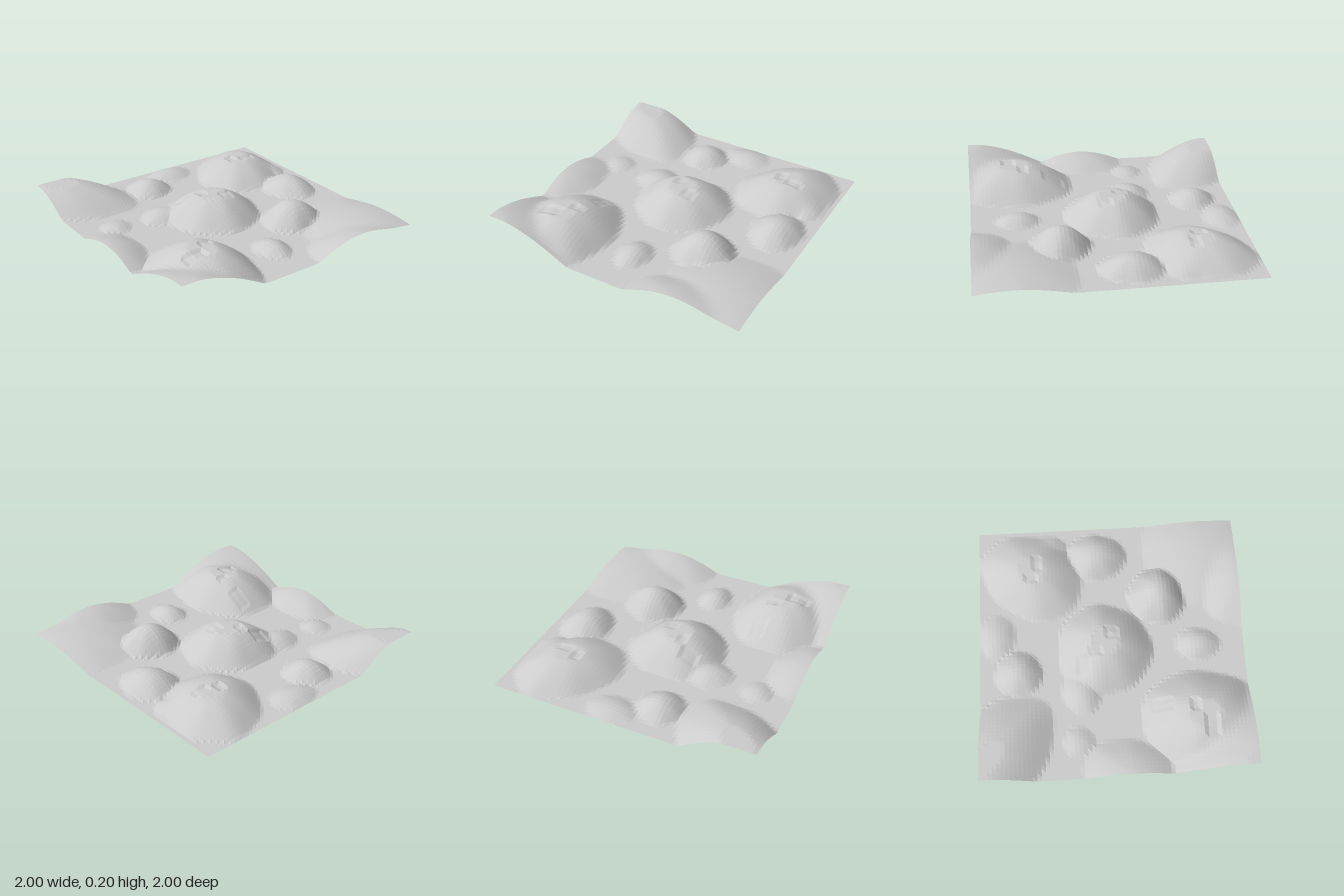
import * as THREE from 'three';

// Hills: centre x, centre z, radius x, radius z, height, turn (radians), plateau share of the height
const hills = [
  [-0.85, -0.95, 0.60, 0.37, 0.165, 0.78, 0.92], // back left
  [-0.02, -0.06, 0.37, 0.36, 0.185, 0, 0.90],    // centre
  [-0.34, -0.24, 0.19, 0.15, 0.055, 0, 1],       // centre shoulder
  [0.61, -0.59, 0.42, 0.34, 0.150, -0.93, 0.92], // back right
  [0.82, -0.46, 0.14, 0.16, 0.05, 0, 1],         // back right shoulder
  [0.75, -0.09, 0.20, 0.24, 0.105, 0, 1],        // right
  [0.40, 0.37, 0.24, 0.22, 0.155, 0, 1],         // front right, inner
  [0.52, 1.03, 0.42, 0.36, 0.110, 0, 1],         // front right, edge
  [0.76, 0.76, 0.46, 0.50, 0.080, 0, 1],         // front right, low
  [-0.60, 0.64, 0.38, 0.46, 0.200, 0, 0.92],     // front left
  [-0.98, 1.04, 0.64, 0.64, 0.210, 0, 0.96],     // front left corner
  [-1.00, 0.09, 0.27, 0.36, 0.085, 0.45, 1],     // left
  [-0.18, -0.71, 0.18, 0.18, 0.085, 0, 1],       // back, inner
  [0.12, -0.87, 0.19, 0.14, 0.040, 0, 1],        // back, edge
  [-0.01, 0.65, 0.13, 0.17, 0.058, 0, 1],        // front, small
  [-0.73, -0.28, 0.12, 0.12, 0.030, 0, 1],       // left, small
];

// Shallow steps on the summits: x, z, half width, half depth, depth
const notches = [
  [-0.17, -0.21, 0.07, 0.05, 0.012], [-0.08, -0.13, 0.03, 0.05, 0.010], [0.06, 0.01, 0.06, 0.05, 0.010],
  [0.55, -0.60, 0.04, 0.05, 0.012], [0.67, -0.55, 0.05, 0.03, 0.010],
  [-0.70, 0.68, 0.08, 0.05, 0.014], [-0.52, 0.58, 0.05, 0.04, 0.012], [-0.50, 0.33, 0.06, 0.08, 0.008],
];

function heightAt(x, z) {
  let sum = 0;
  for (const [cx, cz, rx, rz, h, turn, cap] of hills) {
    const c = Math.cos(turn), s = Math.sin(turn);
    const u = ((x - cx) * c + (z - cz) * s) / rx;
    const v = ((z - cz) * c - (x - cx) * s) / rz;
    // Uneven outline from a gentle ripple around each hill
    const a = Math.atan2(v, u);
    const d = (u * u + v * v) * (1 + 0.05 * Math.sin(3 * a + cx * 9) + 0.03 * Math.sin(7 * a + cz * 9));
    if (d < 1) sum += Math.min(h * cap, h * Math.pow(1 - d, 1.15)) ** 6;
  }
  // A high-power sum blends neighbouring hills softly
  let y = sum ** (1 / 6);
  for (const [cx, cz, w, l, depth] of notches) {
    if (Math.abs(x - cx) < w && Math.abs(z - cz) < l) y = Math.max(0, y - depth);
  }
  return y;
}

export function createModel() {
  const group = new THREE.Group();
  group.name = 'terrain';
  const stone = new THREE.MeshStandardMaterial({ color: 0xcccccc, flatShading: true, side: THREE.DoubleSide });
  stone.name = 'light grey';

  // Square sheet raised into hills
  const sheet = new THREE.PlaneGeometry(2, 2, 64, 64).rotateX(-Math.PI / 2);
  const p = sheet.attributes.position;
  for (let i = 0; i < p.count; i++) p.setY(i, heightAt(p.getX(i), p.getZ(i)));
  const geometry = sheet.toNonIndexed();
  geometry.computeVertexNormals();

  const ground = new THREE.Mesh(geometry, stone);
  ground.name = 'hillyGround';
  group.add(ground);
  return group;
}
